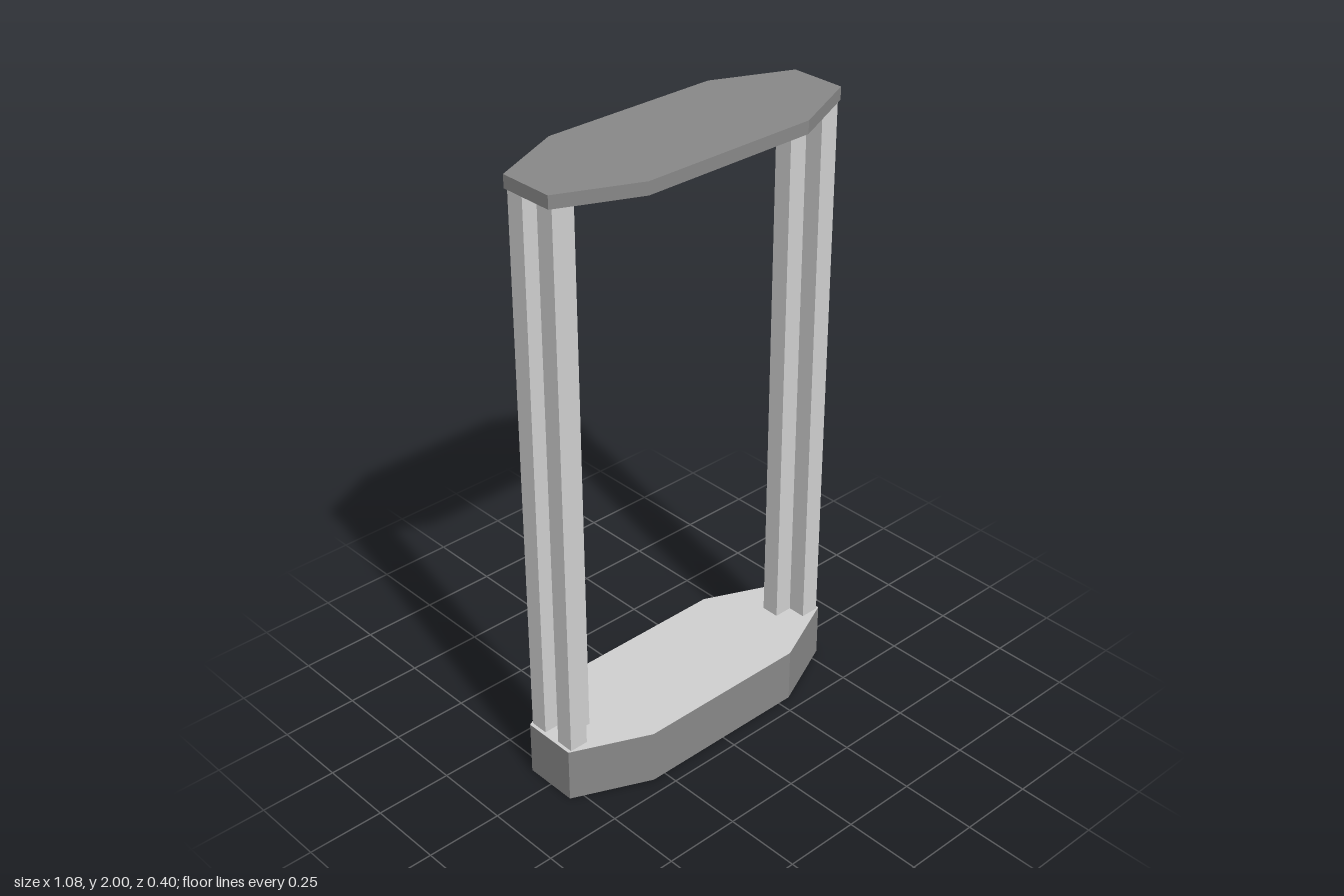
import * as THREE from 'three';

export function createModel() {
  const model = new THREE.Group();
  const darkGrey = new THREE.MeshStandardMaterial({ color: 0x888888 });
  darkGrey.name = 'darkGrey';
  const lightGrey = new THREE.MeshStandardMaterial({ color: 0xd0d0d0 });
  lightGrey.name = 'lightGrey';

  const add = (name, geometry, material, x, y, z) => {
    const mesh = new THREE.Mesh(geometry, material);
    mesh.name = name;
    mesh.position.set(x, y, z);
    model.add(mesh);
  };

  // Long octagon shared by the base and the top plate
  const outline = new THREE.Shape([
    [0.54, -0.09], [0.54, 0.09], [0.295, 0.2], [-0.295, 0.2],
    [-0.54, 0.09], [-0.54, -0.09], [-0.295, -0.2], [0.295, -0.2],
  ].map(([x, y]) => new THREE.Vector2(x, y)));
  const slab = (height) =>
    new THREE.ExtrudeGeometry(outline, { depth: height, bevelEnabled: false }).rotateX(-Math.PI / 2);

  // Base with a light deck face, and the top plate
  add('base', slab(0.179), darkGrey, 0, 0, 0);
  add('baseDeck', new THREE.ShapeGeometry(outline).rotateX(-Math.PI / 2), lightGrey, 0, 0.18, 0);
  add('topPlate', slab(0.04), darkGrey, 0, 1.96, 0);

  // Three square posts at each end: two outside, one inside between them
  const post = new THREE.BoxGeometry(0.062, 1.78, 0.06);
  for (const [side, label] of [[1, 'left'], [-1, 'right']]) {
    add(label + 'OuterFrontPost', post, lightGrey, side * 0.498, 1.07, 0.06);
    add(label + 'OuterBackPost', post, lightGrey, side * 0.498, 1.07, -0.06);
    add(label + 'InnerPost', post, lightGrey, side * 0.436, 1.07, 0);
  }
  return model;
}
